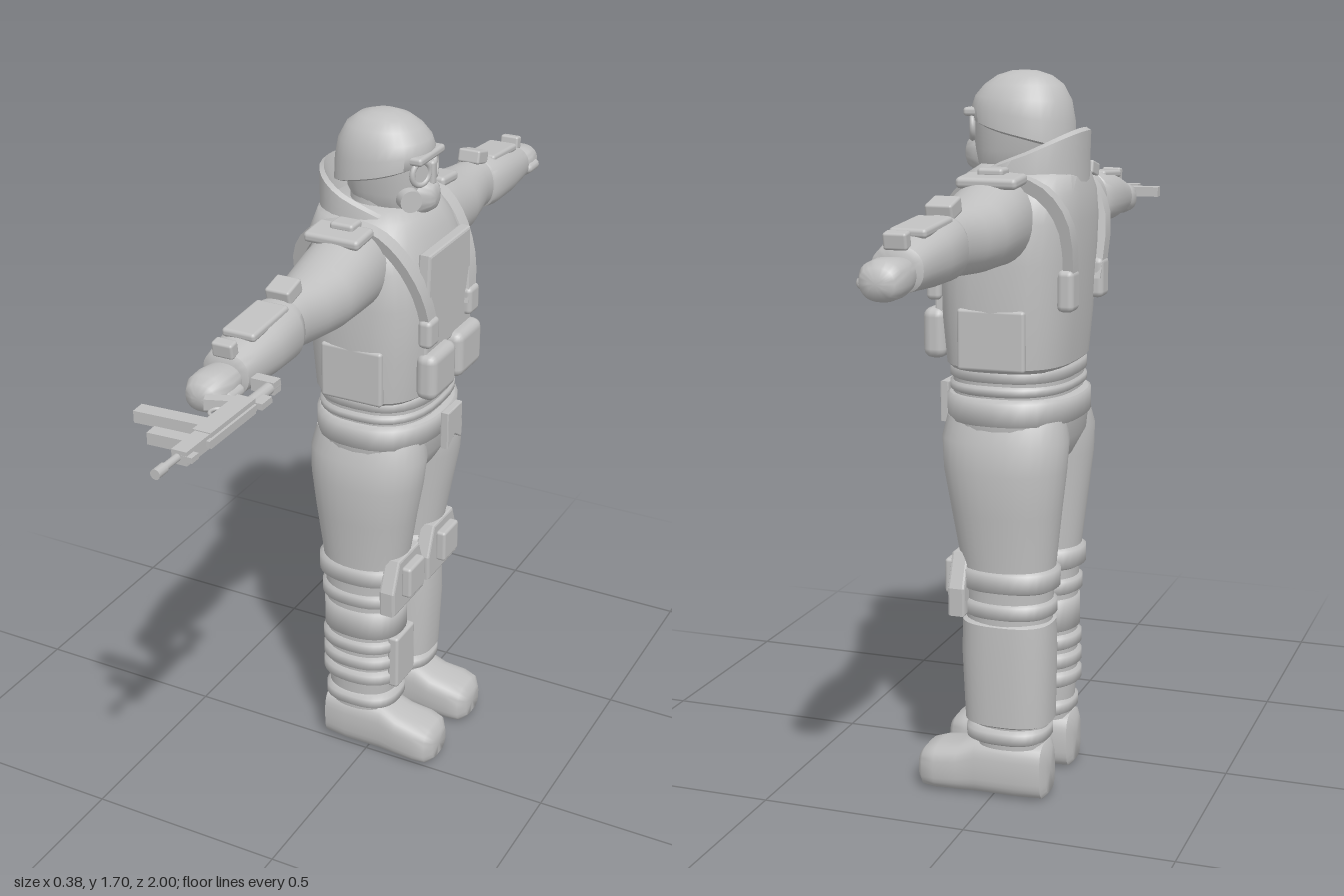
import * as THREE from 'three';
import { toCreasedNormals } from 'three/addons/utils/BufferGeometryUtils.js';
import { RoundedBoxGeometry } from 'three/addons/geometries/RoundedBoxGeometry.js';

const grey = new THREE.MeshStandardMaterial({ color: 0xc0c0c0 });
grey.name = 'plain grey';

function add(parent, name, geo, x = 0, y = 0, z = 0, rx = 0, ry = 0, rz = 0) {
  const m = new THREE.Mesh(geo, grey);
  m.name = name;
  m.position.set(x, y, z);
  m.rotation.set(rx, ry, rz);
  parent.add(m);
  return m;
}

const rbox = (w, h, d, r = 0.01) => new RoundedBoxGeometry(w, h, d, 2, r);

// Closed superellipse loft. Section: [t, centreU, centreV, radiusU, radiusV, slant]
// axis y: u = x, v = z; axis x: u = z, v = y; axis z: u = y, v = x.
function loft(axis, sections, power = 2, s = 1, crease = 0.7, n = 32) {
  const pos = [], idx = [];
  const put = (t, u, v) => {
    if (axis === 'y') pos.push(u, t, v);
    else if (axis === 'x') pos.push(t, v, u);
    else pos.push(v, u, t * s);
  };
  const tri = (a, b, c) => (s > 0 ? idx.push(a, b, c) : idx.push(a, c, b));
  const bend = (c) => Math.sign(c) * Math.pow(Math.abs(c), 2 / power);
  for (const [t, cu, cv, ru, rv, slant = 0] of sections) {
    for (let j = 0; j < n; j++) {
      const a = (j / n) * Math.PI * 2;
      put(t + slant * Math.cos(a), cu + ru * bend(Math.cos(a)), cv + rv * bend(Math.sin(a)));
    }
  }
  const last = sections.length - 1;
  for (let i = 0; i < last; i++) {
    for (let j = 0; j < n; j++) {
      const k = (j + 1) % n, a = i * n + j, b = i * n + k;
      tri(a, a + n, b);
      tri(b, a + n, b + n);
    }
  }
  const c0 = (last + 1) * n;
  for (const i of [0, last]) put(...sections[i].slice(0, 3));
  for (let j = 0; j < n; j++) {
    const k = (j + 1) % n;
    tri(c0, j, k);
    tri(c0 + 1, last * n + k, last * n + j);
  }
  const g = new THREE.BufferGeometry();
  g.setAttribute('position', new THREE.Float32BufferAttribute(pos, 3));
  g.setIndex(idx);
  return toCreasedNormals(g, crease);
}

// Rounded horizontal band around a limb or the body
const band = (y0, y1, cx, cz, rx, rz, power = 2.3) => loft('y', [
  [y0, cx, cz, rx - 0.014, rz - 0.012], [y0 + 0.008, cx, cz, rx, rz],
  [y1 - 0.008, cx, cz, rx, rz], [y1, cx, cz, rx - 0.014, rz - 0.012]], power, 1, 1.2);

// Plate facing forward, outlined in (sideways, up)
function plate(points, depth, bevel = 0.006) {
  const g = new THREE.ExtrudeGeometry(new THREE.Shape(points.map((p) => new THREE.Vector2(...p))),
    { depth, bevelEnabled: true, bevelSize: bevel, bevelThickness: bevel, bevelSegments: 2 });
  return g.rotateY(Math.PI / 2);
}

function buildTorso(f) {
  add(f, 'waist', loft('y', [[0.94, -0.02, 0, 0.14, 0.172], [1.06, -0.02, 0, 0.142, 0.176]], 2.6));
  add(f, 'belt', band(0.975, 1.005, -0.02, 0, 0.147, 0.182, 2.6));
  add(f, 'waistFold', band(1.005, 1.045, -0.02, 0, 0.147, 0.18, 2.6));
  add(f, 'vest', loft('y', [
    [1.035, -0.02, 0, 0.135, 0.185], [1.045, -0.02, 0, 0.146, 0.195], [1.15, -0.02, 0, 0.156, 0.2],
    [1.28, -0.022, 0, 0.162, 0.2], [1.37, -0.03, 0, 0.158, 0.195], [1.43, -0.04, 0, 0.145, 0.178],
    [1.47, -0.045, 0, 0.13, 0.145], [1.49, -0.045, 0, 0.1, 0.11]], 2.9));
  add(f, 'chestPanel', plate([[-0.12, 1.16], [0.12, 1.16], [0.105, 1.4], [-0.105, 1.4]], 0.02), 0.115);
  // Slanted collar, high at the back and open around the head
  add(f, 'collar', loft('y', [
    [1.4, -0.045, 0, 0.135, 0.14, -0.01], [1.46, -0.045, 0, 0.135, 0.14, -0.04],
    [1.505, -0.048, 0, 0.135, 0.132, -0.06], [1.512, -0.048, 0, 0.125, 0.122, -0.06],
    [1.47, -0.045, 0, 0.115, 0.112, -0.05], [1.43, -0.045, 0, 0.1, 0.1, -0.02]], 2.3));
  for (const s of [1, -1]) {
    add(f, 'chestPouch', rbox(0.055, 0.118, 0.13, 0.022), 0.142, 1.108, s * 0.073);
    // Harness loop over the shoulder, leaning towards the middle as it drops
    const outer = [[-0.19, 1.22], [-0.192, 1.36], [-0.145, 1.445], [-0.06, 1.48], [0.03, 1.468],
      [0.095, 1.41], [0.138, 1.32], [0.152, 1.22]].map((p) => new THREE.Vector2(...p));
    const inner = outer.map((p) => new THREE.Vector2(-0.02 + (p.x + 0.02) * 0.86, 1.2 + (p.y - 1.2) * 0.9));
    const smooth = (pts) => new THREE.SplineCurve(pts).getPoints(20);
    const g = new THREE.ExtrudeGeometry(new THREE.Shape([...smooth(outer), ...smooth(inner).reverse()]),
      { depth: 0.042, bevelEnabled: false });
    const p = g.attributes.position;
    for (let i = 0; i < p.count; i++) {
      p.setZ(i, p.getZ(i) - 0.021 + s * (0.165 + (p.getY(i) - 1.46) * 0.26));
    }
    add(f, 'harnessStrap', toCreasedNormals(g, 0.6));
    add(f, 'frontBuckle', rbox(0.035, 0.07, 0.055, 0.012), 0.14, 1.22, s * 0.112);
    add(f, 'backBuckle', rbox(0.04, 0.095, 0.06, 0.014), -0.175, 1.22, s * 0.115);
    add(f, 'shoulderPad', rbox(0.14, 0.025, 0.085, 0.01), -0.035, 1.468, s * 0.225, s * 0.08);
    add(f, 'shoulderClip', rbox(0.06, 0.02, 0.05, 0.008), -0.03, 1.485, s * 0.2);
    // Side flap of the vest
    add(f, 'sideFlap', rbox(0.16, 0.14, 0.02, 0.008), -0.02, 1.11, s * 0.19);
  }
}

function buildHead(f) {
  add(f, 'neck', new THREE.CylinderGeometry(0.075, 0.085, 0.14, 24), -0.035, 1.47);
  add(f, 'head', loft('y', [
    [1.435, 0.0, 0, 0.05, 0.045], [1.46, -0.01, 0, 0.08, 0.065], [1.52, -0.02, 0, 0.098, 0.085],
    [1.6, -0.025, 0, 0.108, 0.09]], 2.3));
  add(f, 'helmet', loft('y', [
    [1.555, -0.034, 0, 0.108, 0.094, 0.03], [1.56, -0.034, 0, 0.118, 0.103, 0.032],
    [1.6, -0.032, 0, 0.118, 0.101, 0.018], [1.635, -0.032, 0, 0.11, 0.093, 0.006],
    [1.665, -0.033, 0, 0.09, 0.076], [1.685, -0.034, 0, 0.062, 0.053],
    [1.695, -0.034, 0, 0.03, 0.028], [1.697, -0.034, 0, 0.004, 0.004]], 2.2, 1, 1));
  add(f, 'maskBrow', rbox(0.04, 0.02, 0.13, 0.008), 0.072, 1.605, 0);
  add(f, 'maskSnout', loft('x', [
    [0.04, 0, 1.505, 0.055, 0.055], [0.075, 0, 1.51, 0.042, 0.045],
    [0.098, 0, 1.51, 0.026, 0.03], [0.104, 0, 1.51, 0.016, 0.018]], 2.4));
  add(f, 'noseBridge', rbox(0.03, 0.06, 0.022, 0.008), 0.083, 1.565, 0);
  for (const s of [1, -1]) {
    add(f, 'goggle', new THREE.TorusGeometry(0.027, 0.007, 10, 24), 0.078, 1.572, s * 0.038, 0, Math.PI / 2 - s * 0.35);
    add(f, 'lens', new THREE.CylinderGeometry(0.026, 0.026, 0.008, 24), 0.076, 1.572, s * 0.038, 0, -s * 0.35, -Math.PI / 2);
  }
  add(f, 'maskFilter', new THREE.CylinderGeometry(0.026, 0.028, 0.04, 20), 0.06, 1.515, 0.062, 0, -0.8, -Math.PI / 2);
}

function buildArm(f, s) {
  const x = -0.027;
  add(f, 'upperArm', loft('z', [
    [0.1, 1.375, x, 0.09, 0.08], [0.19, 1.378, x, 0.1, 0.088], [0.26, 1.373, x, 0.092, 0.09],
    [0.34, 1.362, x, 0.08, 0.085], [0.41, 1.36, x, 0.073, 0.07], [0.47, 1.36, x, 0.068, 0.055],
    [0.53, 1.358, x, 0.066, 0.055]], 2.1, s));
  add(f, 'foreArm', loft('z', [
    [0.495, 1.358, x, 0.05, 0.045], [0.505, 1.358, x, 0.066, 0.06], [0.53, 1.358, x, 0.068, 0.07],
    [0.62, 1.354, x, 0.063, 0.07], [0.7, 1.347, x, 0.052, 0.06], [0.735, 1.343, x, 0.047, 0.055],
    [0.742, 1.343, x, 0.036, 0.04]], 2.3, s));
  add(f, 'hand', loft('z', [
    [0.72, 1.337, x, 0.03, 0.035], [0.75, 1.334, x, 0.036, 0.045], [0.78, 1.333, x, 0.041, 0.048],
    [0.815, 1.332, x, 0.04, 0.046], [0.835, 1.33, x, 0.03, 0.036], [0.843, 1.33, x, 0.012, 0.016]], 2.4, s, 1));
  add(f, 'thumb', new THREE.CapsuleGeometry(0.014, 0.04, 4, 10), 0.016, 1.325, s * 0.78, s * Math.PI / 2);
  add(f, 'elbowFlap', rbox(0.06, 0.035, 0.06, 0.006), x, 1.436, s * 0.49, s * 0.25);
  add(f, 'wristFlap', rbox(0.05, 0.035, 0.028, 0.006), x, 1.4, s * 0.735, s * 0.15);
  add(f, 'armGuard', rbox(0.08, 0.02, 0.15, 0.008), x, 1.412, s * 0.61, s * 0.07);
}

function buildLeg(f, s) {
  const z = s * 0.1;
  add(f, 'trouserLeg', loft('y', [
    [0.13, -0.035, z, 0.085, 0.072], [0.25, -0.033, z, 0.098, 0.08], [0.4, -0.03, z, 0.1, 0.084],
    [0.5, -0.03, z, 0.104, 0.084], [0.58, -0.028, z, 0.113, 0.087], [0.7, -0.025, s * 0.105, 0.13, 0.096],
    [0.8, -0.022, s * 0.106, 0.145, 0.101], [0.87, -0.021, s * 0.1, 0.15, 0.1],
    [0.92, -0.021, s * 0.09, 0.14, 0.09]], 2.2));
  // Knee protection
  add(f, 'upperKneeBand', band(0.515, 0.572, -0.03, z, 0.12, 0.092));
  add(f, 'lowerKneeBand', band(0.45, 0.495, -0.03, z, 0.112, 0.09));
  add(f, 'kneePad', plate([[-0.08, 0.46], [0.08, 0.46], [0.082, 0.52], [0.052, 0.595], [-0.052, 0.595], [-0.082, 0.52]],
    0.03), 0.057, 0, z);
  add(f, 'kneePlate', rbox(0.028, 0.085, 0.085, 0.008), 0.103, 0.535, z);
  // Shins: banded gaiter on the right, smooth guard on the left
  if (s > 0) {
    for (const y of [0.215, 0.262, 0.31]) add(f, 'shinBand', band(y, y + 0.042, -0.032, z, 0.108, 0.09));
    add(f, 'calf', band(0.355, 0.445, -0.03, z, 0.106, 0.088));
    add(f, 'shinPlate', rbox(0.03, 0.15, 0.1, 0.008), 0.07, 0.288, z - 0.003);
  } else {
    add(f, 'shinGuard', loft('y', [
      [0.185, -0.032, z, 0.09, 0.075], [0.192, -0.032, z, 0.105, 0.086], [0.36, -0.03, z, 0.11, 0.09],
      [0.437, -0.03, z, 0.108, 0.088], [0.445, -0.03, z, 0.092, 0.076]], 2.6));
  }
  add(f, 'ankleCuff', band(0.142, 0.182, -0.03, z, 0.1, 0.086, 2.6));
  add(f, 'boot', loft('x', [
    [-0.132, s * 0.104, 0.068, 0.035, 0.055], [-0.122, s * 0.104, 0.07, 0.055, 0.069],
    [-0.06, s * 0.104, 0.071, 0.064, 0.071], [0.04, s * 0.104, 0.071, 0.064, 0.071],
    [0.085, s * 0.104, 0.06, 0.067, 0.06], [0.14, s * 0.105, 0.056, 0.07, 0.056],
    [0.172, s * 0.105, 0.052, 0.064, 0.05], [0.188, s * 0.105, 0.048, 0.04, 0.034]], 3.2, 1, 0.9));
}

function buildHips(f) {
  add(f, 'hips', loft('y', [
    [0.775, -0.022, 0, 0.06, 0.07], [0.81, -0.022, 0, 0.115, 0.15], [0.87, -0.021, 0, 0.148, 0.188],
    [0.93, -0.021, 0, 0.153, 0.188], [0.965, -0.021, 0, 0.157, 0.187], [0.972, -0.021, 0, 0.148, 0.178]], 2.4));
  add(f, 'waistband', band(0.905, 0.973, -0.021, 0, 0.158, 0.19, 2.4));
  add(f, 'beltPouch', plate([[-0.038, 0.975], [-0.038, 0.885], [0, 0.91], [0.038, 0.885], [0.038, 0.975]], 0.015, 0.003), 0.145);
  add(f, 'beltLoop', rbox(0.04, 0.04, 0.04, 0.006), 0.135, 0.945, 0);
}

// Rifle lying on its side beyond the right hand
function buildRifle() {
  const r = new THREE.Group();
  r.name = 'rifle';
  const y = 1.335;
  const box = (name, w, h, d, x, z, ry = 0) => add(r, name, new THREE.BoxGeometry(w, h, d), x, y, z, 0, ry);
  const rod = (name, rad, len, x, z) => add(r, name, new THREE.CylinderGeometry(rad, rad, len, 12), x, y, z, Math.PI / 2);
  box('receiver', 0.042, 0.034, 0.17, 0.074, 0.75);
  box('handguard', 0.034, 0.03, 0.09, 0.076, 0.875);
  rod('stockTube', 0.013, 0.13, 0.078, 0.62);
  box('buttPlate', 0.055, 0.028, 0.028, 0.063, 0.57);
  rod('barrel', 0.008, 0.1, 0.072, 0.945);
  rod('muzzle', 0.011, 0.03, 0.072, 0.982);
  box('frontSight', 0.04, 0.012, 0.025, 0.085, 0.908);
  box('rearSight', 0.04, 0.014, 0.04, 0.09, 0.645);
  box('topRail', 0.01, 0.014, 0.18, 0.096, 0.76);
  box('magazine', 0.155, 0.026, 0.034, -0.02, 0.795, 0.06);
  box('foreGrip', 0.085, 0.026, 0.03, 0.02, 0.865, 0.05);
  box('pistolGrip', 0.07, 0.024, 0.026, 0.028, 0.685, 0.35);
  add(r, 'triggerGuard', new THREE.TorusGeometry(0.018, 0.004, 8, 20), 0.044, y, 0.725, Math.PI / 2);
  return r;
}

export function createModel() {
  const model = new THREE.Group();
  model.name = 'armouredSoldier';
  const figure = new THREE.Group();
  figure.name = 'figure';
  figure.position.z = -0.157;
  buildTorso(figure);
  buildHead(figure);
  buildHips(figure);
  for (const s of [1, -1]) {
    buildArm(figure, s);
    buildLeg(figure, s);
  }
  model.add(figure, buildRifle());
  return model;
}
